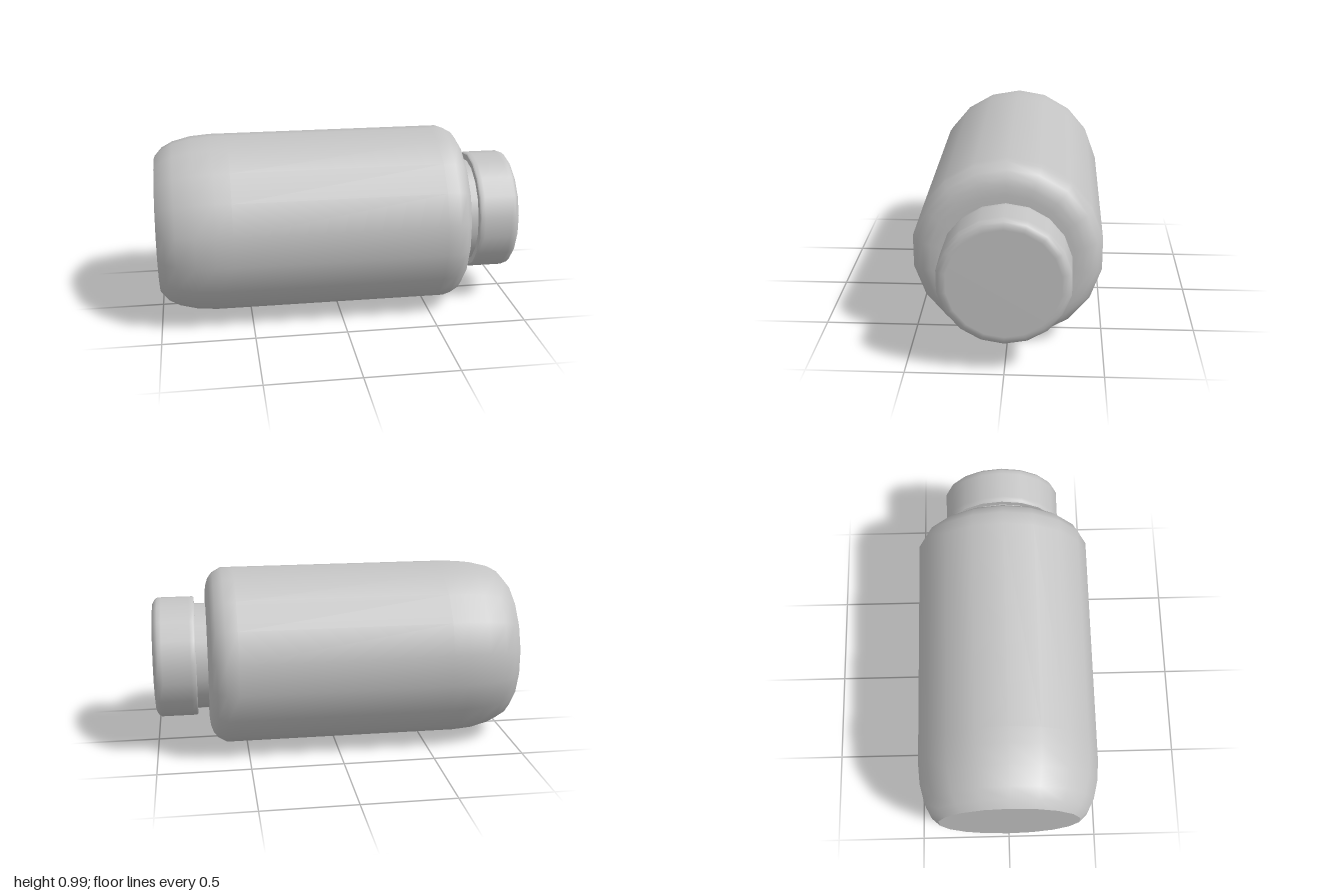
import * as THREE from 'three';

const SIDES = 18;

export function createModel() {
  const model = new THREE.Group();
  model.name = 'bottle';
  const grey = new THREE.MeshStandardMaterial({ color: 0xc4c4c4 });
  grey.name = 'light grey';

  // Turned part lying along x; profile entries are [radius, x]
  function turned(name, profile) {
    const points = profile.map(([r, x]) => new THREE.Vector2(r, x));
    const geometry = new THREE.LatheGeometry(points, SIDES, Math.PI / 2);
    geometry.rotateZ(-Math.PI / 2);
    const mesh = new THREE.Mesh(geometry, grey);
    mesh.name = name;
    mesh.position.y = 0.496;
    model.add(mesh);
  }

  // Flat base, kept apart for a crisp rim
  turned('base', [[0, -1], [0.385, -1]]);

  // Body with rounded heel and shoulder
  turned('body', [
    [0.385, -1], [0.43, -0.96], [0.462, -0.9], [0.487, -0.8], [0.496, -0.69],
    [0.496, -0.6], [0.496, 0.55], [0.496, 0.615], [0.468, 0.665], [0.435, 0.69],
    [0.395, 0.703], [0.35, 0.708], [0.295, 0.708],
  ]);

  // Neck
  turned('neck', [[0.295, 0.7], [0.295, 0.78]]);

  // Screw cap: underside, wall with soft edge, flat end
  turned('capUnderside', [[0.28, 0.77], [0.328, 0.77]]);
  turned('cap', [
    [0.328, 0.77], [0.335, 0.778], [0.335, 0.8], [0.335, 0.95], [0.335, 0.972],
    [0.323, 0.988], [0.305, 0.998], [0.285, 1], [0, 1],
  ]);

  return model;
}
